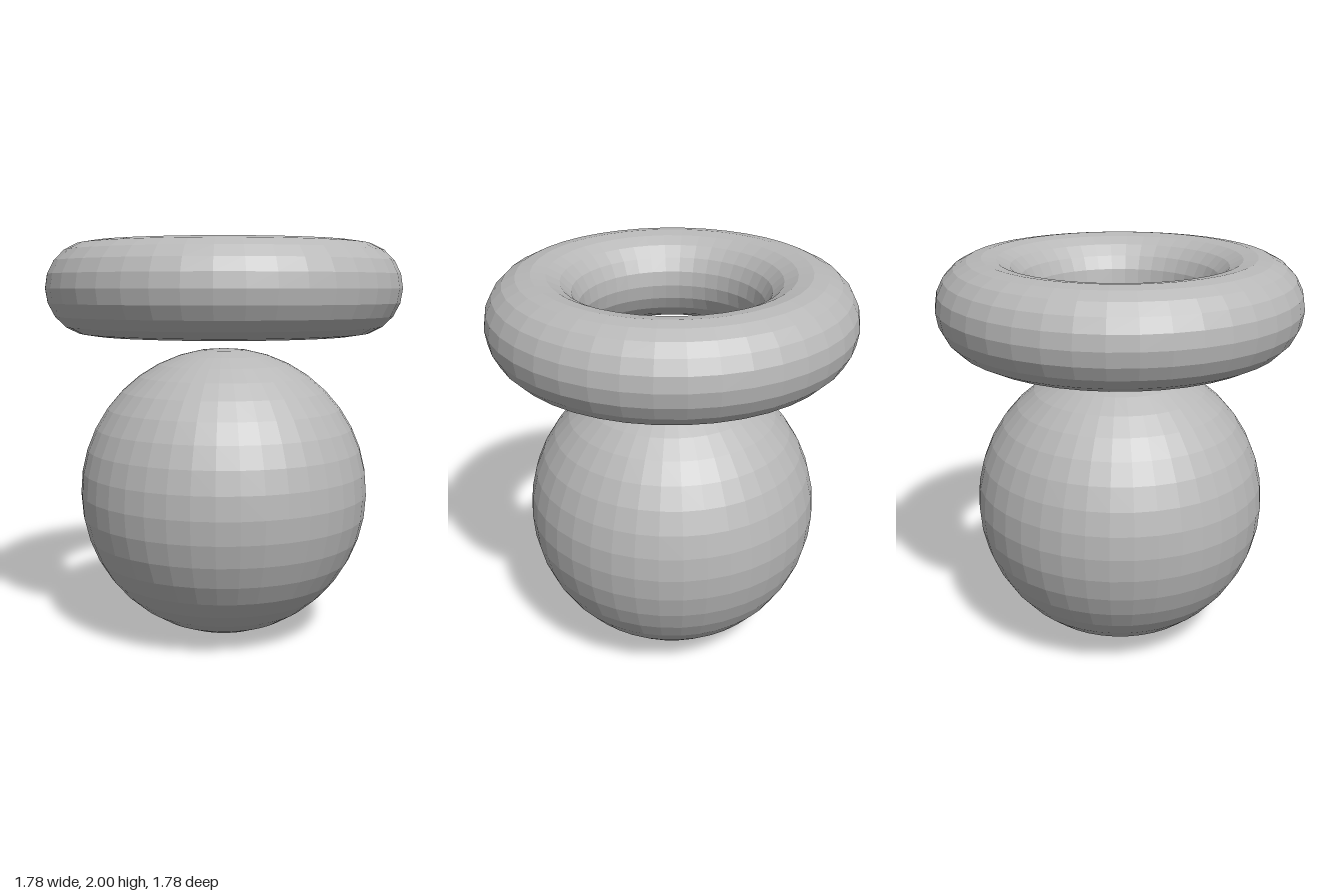
import * as THREE from 'three';

export function createModel() {
  const model = new THREE.Group();
  const grey = new THREE.MeshStandardMaterial({ color: 0xb8b8b8, flatShading: true });
  grey.name = 'light grey';

  // Ball resting on the ground
  const ball = new THREE.Mesh(new THREE.SphereGeometry(0.735, 40, 20), grey);
  ball.name = 'ball';
  ball.position.y = 0.735;

  // Level ring floating above the ball
  const ring = new THREE.Mesh(new THREE.TorusGeometry(0.662, 0.23, 20, 40), grey);
  ring.name = 'floatingRing';
  ring.rotation.x = Math.PI / 2;
  ring.position.y = 1.77;

  model.add(ball, ring);
  return model;
}
